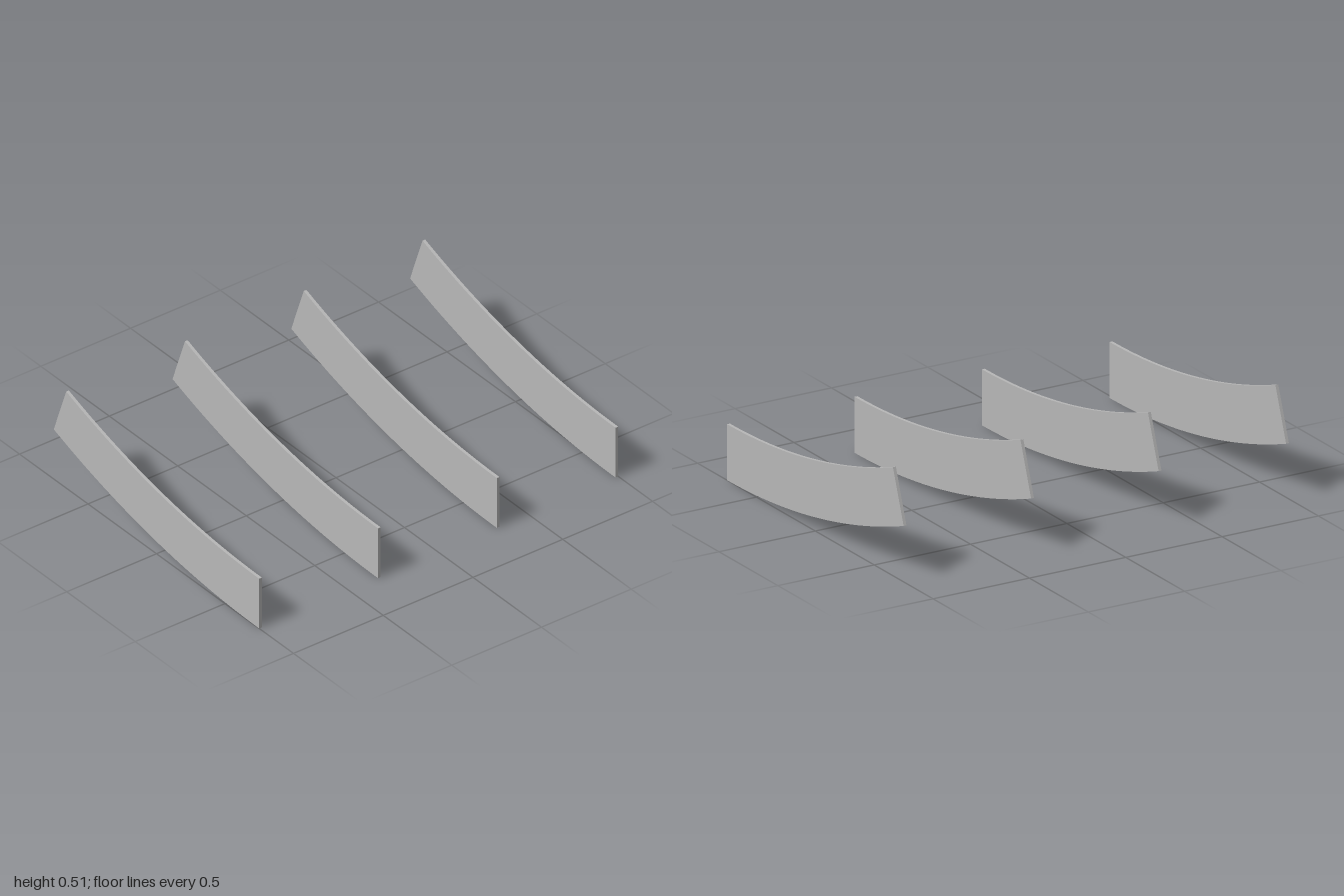
import * as THREE from 'three';

export function createModel() {
  const group = new THREE.Group();
  group.name = 'curvedSlats';
  const grey = new THREE.MeshStandardMaterial({ color: 0xb8b8b8 });
  grey.name = 'grey';

  // Side profile: a 20 degree arc band rising towards the back
  const outer = 4.386, depth = 0.265, thickness = 0.015;
  const start = -Math.PI / 2, end = start + THREE.MathUtils.degToRad(20);
  const profile = new THREE.Shape();
  profile.absarc(-0.75, outer, outer, start, end, false);
  profile.absarc(-0.75, outer, outer - depth, end, start, true);
  profile.closePath();

  const geometry = new THREE.ExtrudeGeometry(profile, {
    depth: thickness, bevelEnabled: false, curveSegments: 24,
  });
  geometry.translate(0, 0, -thickness / 2);
  geometry.rotateY(Math.PI / 2);

  // Four identical slats, evenly spaced across the width
  const reach = 1 - thickness / 2;
  for (let i = 0; i < 4; i++) {
    const slat = new THREE.Mesh(geometry, grey);
    slat.name = `slat${i + 1}`;
    slat.position.x = -reach + (2 * reach * i) / 3;
    group.add(slat);
  }
  return group;
}
